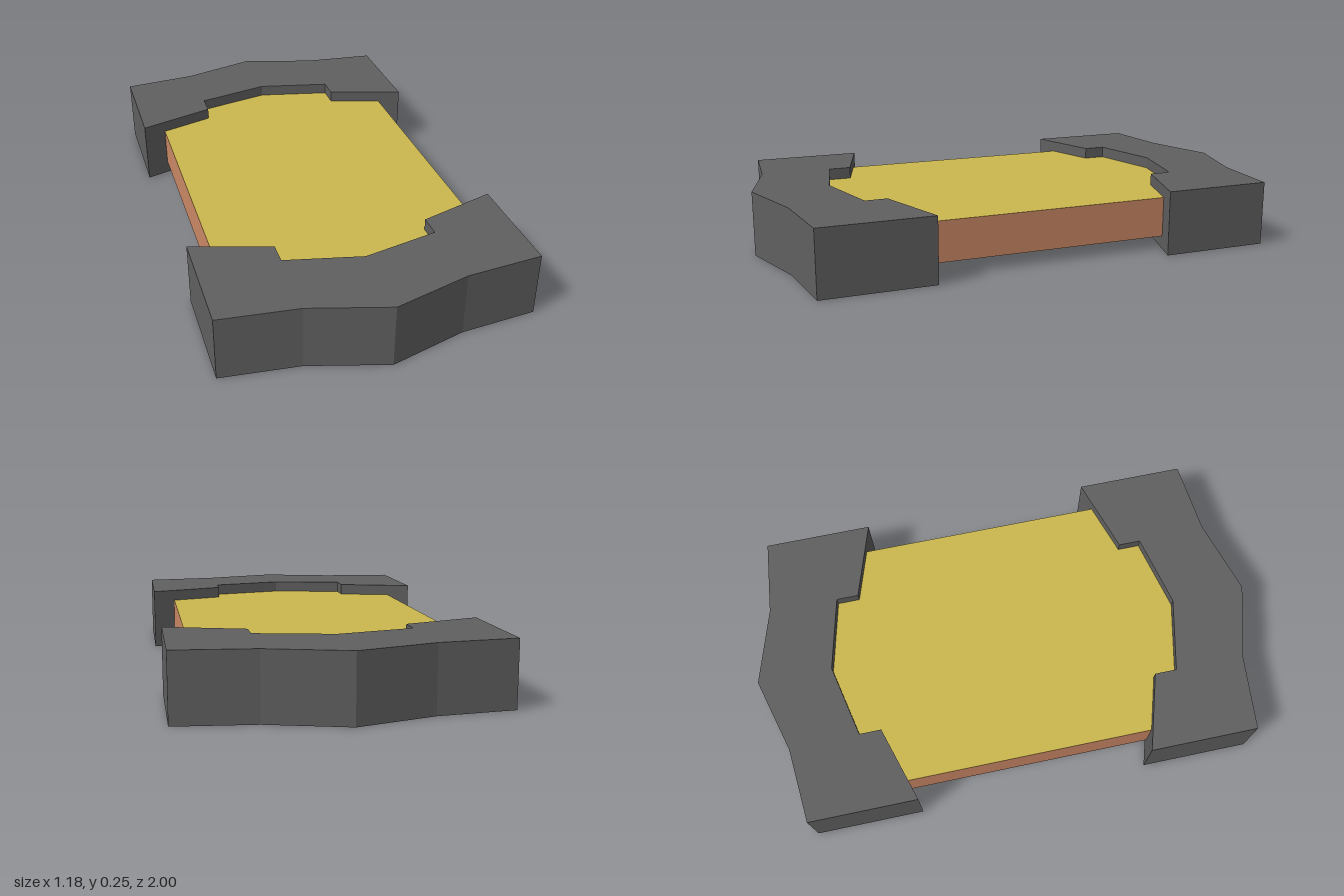
import * as THREE from 'three';

export function createModel() {
  const model = new THREE.Group();
  model.name = 'slabWithEndCaps';

  const mat = (name, color) => {
    const m = new THREE.MeshStandardMaterial({ color });
    m.name = name;
    return m;
  };
  const gray = mat('darkGray', 0x606060);
  const yellow = mat('yellow', 0xcbb74d);
  const copper = mat('copper', 0xcc8966);

  // Slab: yellow top face, copper sides and underside, ends buried in the caps
  const slab = new THREE.Mesh(
    new THREE.BoxGeometry(1, 0.155, 1.5),
    [copper, copper, yellow, copper, copper, copper]
  );
  slab.name = 'slab';
  slab.position.y = 0.1275;
  model.add(slab);

  // End cap outline: right half from inner tip to outer tip, then mirrored
  const half = [[0, 0.705], [0.29, 0.64], [0.29, 0.553], [0.59, 0.46], [0.59, 0.887], [0.295, 0.915], [0, 1]];
  const mirrored = half.slice(1, -1).reverse().map(([x, z]) => [-x, z]);
  const outline = [...half, ...mirrored].map(([x, z]) => new THREE.Vector2(x, z));
  const capGeometry = new THREE.ExtrudeGeometry(new THREE.Shape(outline), { depth: 0.25, bevelEnabled: false });
  capGeometry.rotateX(Math.PI / 2).translate(0, 0.25, 0);

  // Matching caps at both ends
  for (const [name, turn] of [['frontCap', 0], ['backCap', Math.PI]]) {
    const cap = new THREE.Mesh(capGeometry, gray);
    cap.name = name;
    cap.rotation.y = turn;
    model.add(cap);
  }

  return model;
}
